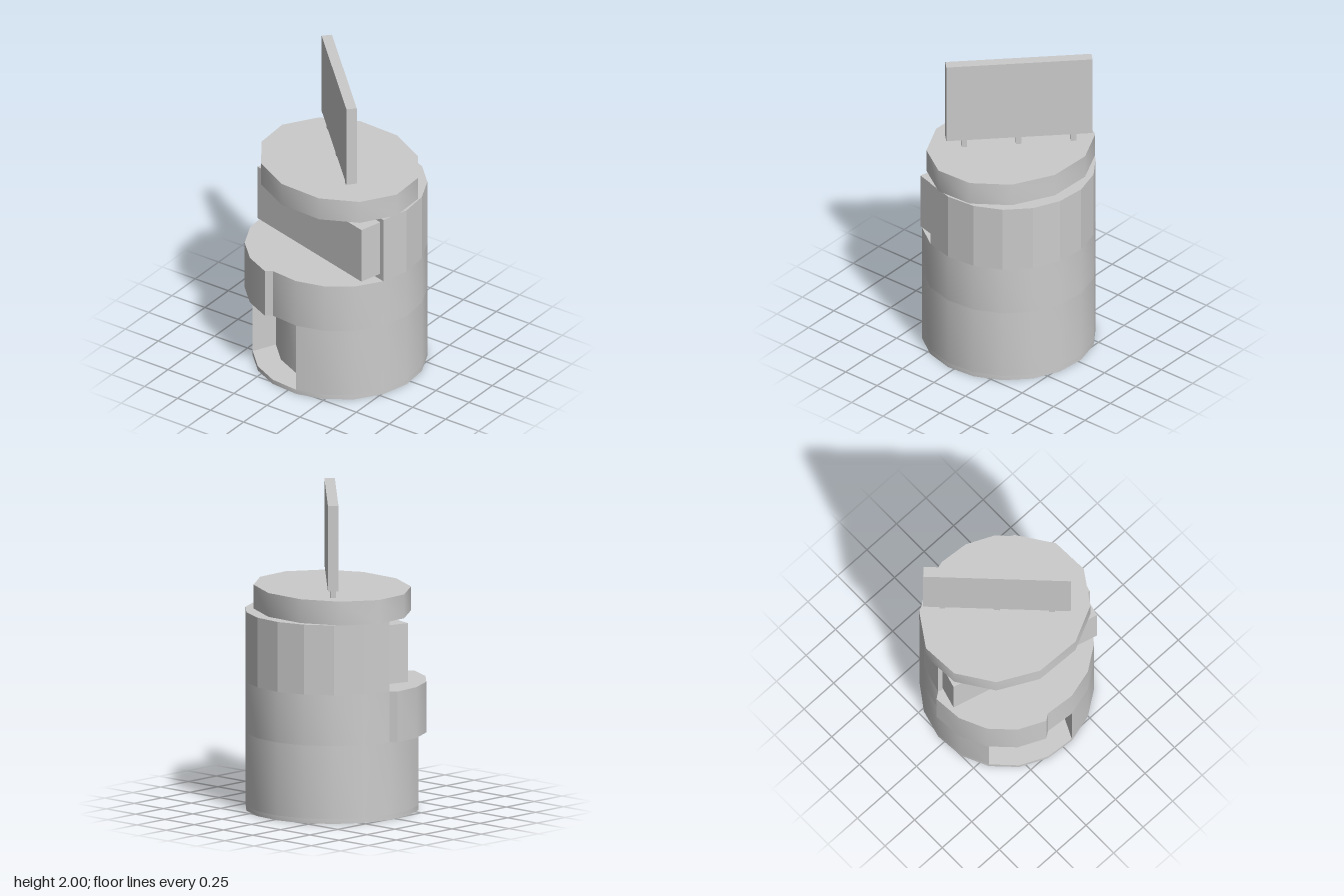
import * as THREE from 'three';
import { toCreasedNormals } from 'three/addons/utils/BufferGeometryUtils.js';

const material = new THREE.MeshStandardMaterial({ color: 0xcccccc });
const CX = 0.005, CZ = 0.02, R = 0.54; // drum centre and radius

// Point on the 18-sided drum outline, angle in degrees from +x towards +z
function rim(deg) {
  const a = THREE.MathUtils.degToRad(deg);
  return [CX + R * Math.cos(a), CZ + R * Math.sin(a)];
}

// Outline points from one angle to another in 20 degree steps, optionally pushed along a direction
function arc(from, to, push = 0, pushDeg = 0) {
  const a = THREE.MathUtils.degToRad(pushDeg);
  const points = [];
  for (let d = from; d <= to; d += 20) {
    const [x, z] = rim(d);
    points.push([x + push * Math.cos(a), z + push * Math.sin(a)]);
  }
  return points;
}

// Vertical prism over an (x, z) outline
function prism(name, outline, y0, y1, crease) {
  const shape = new THREE.Shape(outline.map(([x, z]) => new THREE.Vector2(x, -z)));
  const geometry = new THREE.ExtrudeGeometry(shape, { depth: y1 - y0, bevelEnabled: false });
  geometry.rotateX(-Math.PI / 2).translate(0, y0, 0);
  const mesh = new THREE.Mesh(toCreasedNormals(geometry, crease), material);
  mesh.name = name;
  return mesh;
}

function box(name, w, h, d, x, y, z, turn) {
  const mesh = new THREE.Mesh(new THREE.BoxGeometry(w, h, d), material);
  mesh.position.set(x, y, z);
  mesh.rotation.y = turn;
  mesh.name = name;
  return mesh;
}

export function createModel() {
  const model = new THREE.Group();
  const smooth = 0.7, flat = 0.1;

  // Lower drum, with a pocket pushed in between 175 and 235 degrees
  const full = arc(-5, 335);
  const pocketed = [...arc(-5, 175), ...arc(175, 235, -0.165, 205), ...arc(235, 335)];
  model.add(prism('drumBase', full, 0, 0.03, smooth));
  model.add(prism('drumPocketSection', pocketed, 0.03, 0.49, smooth));
  model.add(prism('drumMiddle', full, 0.49, 0.81, smooth));

  // Raised band above the pocket
  const band = [...arc(195, 275, 0.05, 235), ...arc(195, 275).reverse()];
  model.add(prism('raisedBand', band, 0.49, 0.81, smooth));

  // Faceted upper drum, cut off flat along a chord
  model.add(prism('upperDrum', arc(-85, 115), 0.81, 1.25, flat));

  // Thick panel standing against the flat cut
  const panel = [[-0.36, 0.44], [-0.1, -0.53], [0.045, -0.49], [-0.215, 0.48]];
  model.add(prism('sidePanel', panel, 0.85, 1.22, flat));

  // Twelve-sided oval lid
  const lid = [
    [0.47, -0.155], [0.46, 0.13], [0.325, 0.385], [0.11, 0.535],
    [-0.13, 0.545], [-0.335, 0.41], [-0.445, 0.18], [-0.435, -0.11],
    [-0.305, -0.36], [-0.085, -0.51], [0.155, -0.525], [0.36, -0.39],
  ];
  model.add(prism('lid', lid, 1.25, 1.4, smooth));

  // Signboard set diagonally on three small posts
  const turn = Math.PI / 4;
  model.add(box('signBoard', 0.91, 0.54, 0.065, 0.0525, 1.73, -0.02, turn));
  for (const s of [-1, 0, 1]) {
    model.add(box('signPost', 0.035, 0.07, 0.035, 0.05 + 0.24 * s, 1.43, -0.02 - 0.24 * s, turn));
  }
  return model;
}
